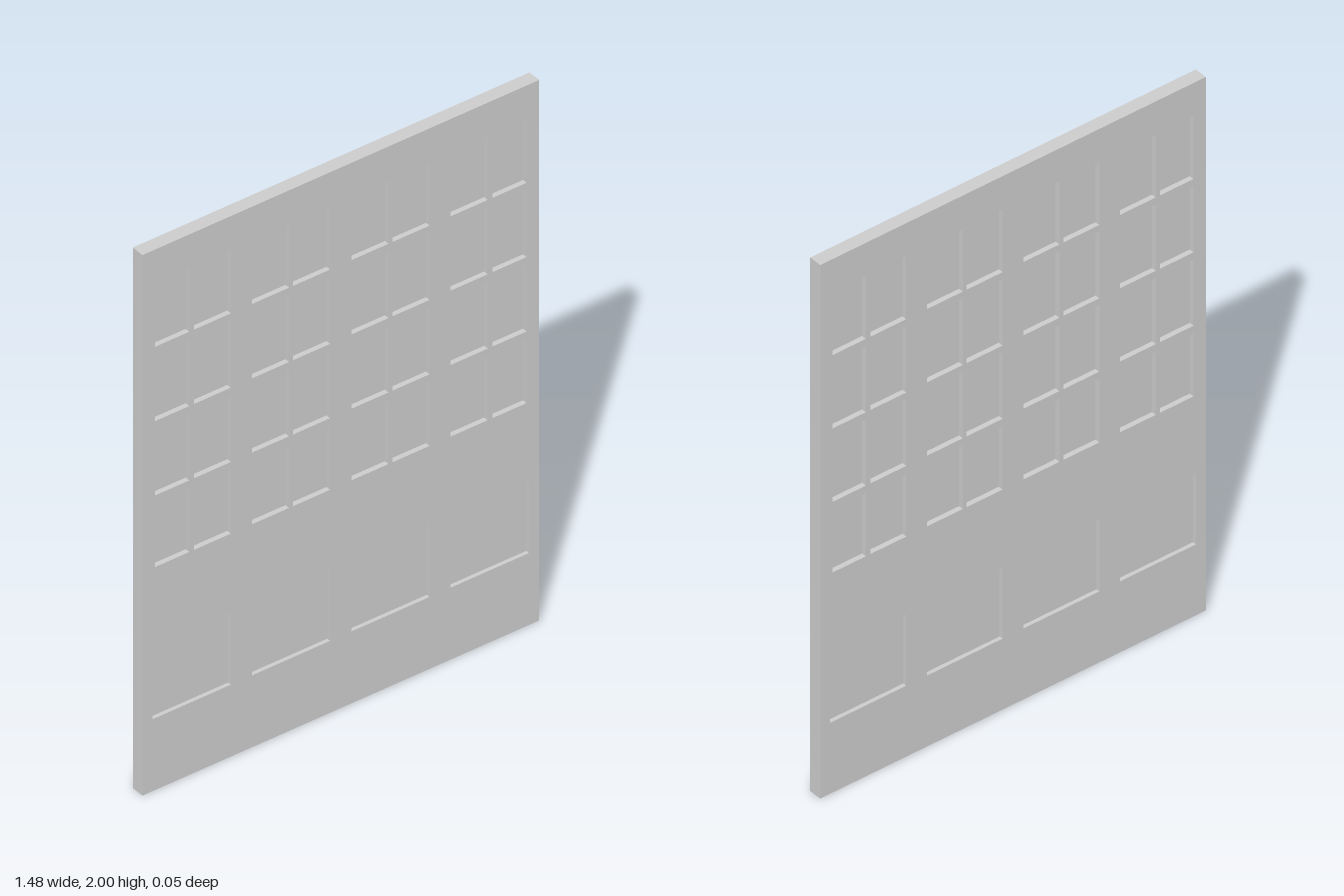
import * as THREE from 'three';

const WIDTH = 1.48, HEIGHT = 2, THICK = 0.048;
const PANE_THICK = 0.012, PANEL_THICK = 0.02;

// Openings on the -x half, mirrored to the other half
const PANE_COLUMNS = [[-0.693, -0.565], [-0.548, -0.41], [-0.331, -0.193], [-0.178, -0.04]];
const PANE_ROWS = [[0.825, 1.061], [1.09, 1.339], [1.365, 1.614], [1.64, 1.875]];
const PANEL_COLUMNS = [[-0.702, -0.41], [-0.331, -0.04]];
const PANEL_ROWS = [[0.266, 0.534]];

function openings(columns, rows) {
  const list = [];
  for (const [a, b] of columns)
    for (const [y0, y1] of rows)
      list.push({ x0: a, x1: b, y0, y1 }, { x0: -b, x1: -a, y0, y1 });
  return list;
}

function rectangle(target, { x0, x1, y0, y1 }) {
  target.moveTo(x0, y0);
  target.lineTo(x1, y0);
  target.lineTo(x1, y1);
  target.lineTo(x0, y1);
  target.closePath();
  return target;
}

export function createModel() {
  const model = new THREE.Group();
  model.name = 'door';
  const material = new THREE.MeshStandardMaterial({ color: 0xcccccc });

  const panes = openings(PANE_COLUMNS, PANE_ROWS);
  const panels = openings(PANEL_COLUMNS, PANEL_ROWS);

  // Frame: one slab cut through at every opening
  const outline = rectangle(new THREE.Shape(), { x0: -WIDTH / 2, x1: WIDTH / 2, y0: 0, y1: HEIGHT });
  for (const o of [...panes, ...panels]) outline.holes.push(rectangle(new THREE.Path(), o));
  const frameGeometry = new THREE.ExtrudeGeometry(outline, { depth: THICK, bevelEnabled: false });
  frameGeometry.translate(0, 0, -THICK / 2);
  const frame = new THREE.Mesh(frameGeometry, material);
  frame.name = 'doorFrame';
  model.add(frame);

  // Thin infill set midway through the slab, recessed on both faces
  function addInfill(list, thickness, name) {
    const group = new THREE.Group();
    group.name = name + 's';
    for (const { x0, x1, y0, y1 } of list) {
      const mesh = new THREE.Mesh(new THREE.BoxGeometry(x1 - x0, y1 - y0, thickness), material);
      mesh.position.set((x0 + x1) / 2, (y0 + y1) / 2, 0);
      mesh.name = name;
      group.add(mesh);
    }
    model.add(group);
  }
  addInfill(panes, PANE_THICK, 'windowPane');
  addInfill(panels, PANEL_THICK, 'lowerPanel');

  return model;
}
